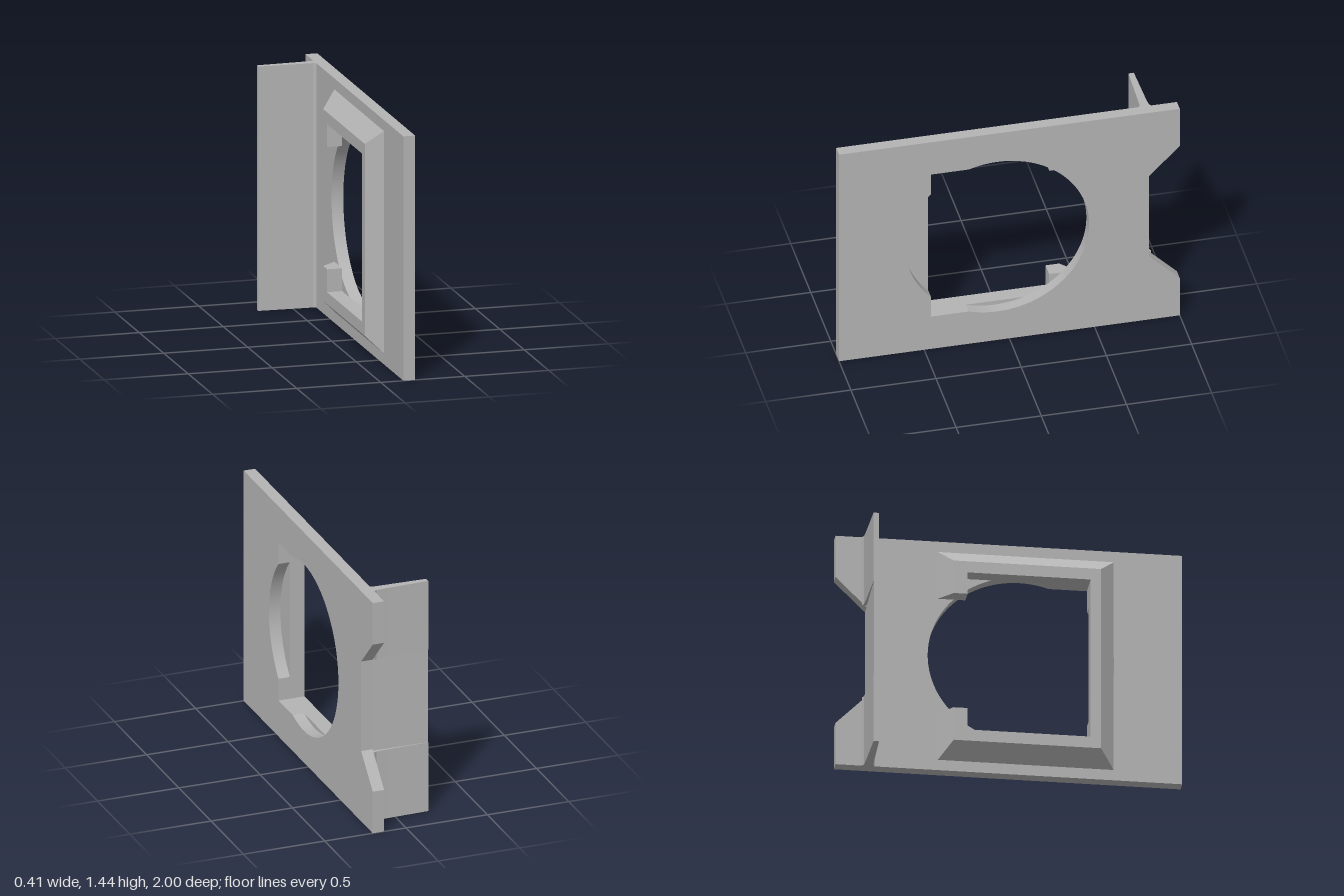
import * as THREE from 'three';

const H = 1.44, FRONT = 0.205, BACK = 0.135, TIP = 0.045, CY = H / 2;

// Flat plate with an edge notch and an opening that joins an ellipse with a square end
function plateGeometry() {
  const outline = [[1, 0], [1, H], [-1, H], [-1, 1.18], [-0.82, 1.0], [-0.82, 0.44], [-1, 0.26], [-1, 0]];
  const shape = new THREE.Shape(outline.map(p => new THREE.Vector2(...p)));
  const cz = 0.07, rz = 0.538, ry = 0.521, edge = 0.46, half = 0.495;
  const a = Math.acos((edge - cz) / rz);
  const b = Math.asin(half / ry);
  const hole = new THREE.Path();
  hole.absellipse(cz, CY, rz, ry, -a, a, false);
  hole.lineTo(edge, CY + half);
  hole.absellipse(cz, CY, rz, ry, b, 2 * Math.PI - b, false);
  hole.lineTo(edge, CY - half);
  hole.closePath();
  shape.holes.push(hole);
  const g = new THREE.ExtrudeGeometry(shape, { depth: FRONT - BACK, bevelEnabled: false, curveSegments: 64 });
  return g.rotateY(-Math.PI / 2).translate(FRONT, 0, 0);
}

// Chamfered frame swept round the opening, with a gap on the notched side
function frameGeometry() {
  // each ring of the section: x, near z, far z, half height
  const rings = [[BACK, -0.41, 0.605, 0.655], [TIP, -0.33, 0.52, 0.565],
    [TIP, -0.25, 0.46, 0.495], [BACK, -0.25, 0.46, 0.495]];
  const gap = 0.36;
  const stations = [
    r => [r[0], CY - gap, r[1]], r => [r[0], CY - r[3], r[1]], r => [r[0], CY - r[3], r[2]],
    r => [r[0], CY + r[3], r[2]], r => [r[0], CY + r[3], r[1]], r => [r[0], CY + gap, r[1]],
  ].map(f => rings.map(f));
  const pos = [];
  const quad = (p, q, r, s) => pos.push(...p, ...q, ...r, ...p, ...r, ...s);
  for (let i = 0; i < 5; i++) {
    const A = stations[i], B = stations[i + 1];
    for (let j = 0; j < 4; j++) {
      const k = (j + 1) % 4;
      quad(A[j], B[j], B[k], A[k]);
    }
  }
  quad(...stations[0]);
  quad(...[...stations[5]].reverse());
  const g = new THREE.BufferGeometry();
  g.setAttribute('position', new THREE.Float32BufferAttribute(pos, 3));
  g.computeVertexNormals();
  return g;
}

// Tapered flange section between two heights; points are x, z
function flangeGeometry(points, y0, y1) {
  const shape = new THREE.Shape(points.map(([x, z]) => new THREE.Vector2(x, -z)));
  const g = new THREE.ExtrudeGeometry(shape, { depth: y1 - y0, bevelEnabled: false });
  return g.rotateX(-Math.PI / 2).translate(0, y0, 0);
}

export function createModel() {
  const model = new THREE.Group();
  const grey = new THREE.MeshStandardMaterial({ color: 0xb4b4b4 });
  grey.name = 'grey';
  const add = (name, geometry, parent = model) => {
    const mesh = new THREE.Mesh(geometry, grey);
    mesh.name = name;
    parent.add(mesh);
  };

  add('plate', plateGeometry());
  add('openingFrame', frameGeometry());

  // Flange with small root flares; the notch trims its middle flat
  const flange = new THREE.Group();
  flange.name = 'flange';
  model.add(flange);
  const inner = [[BACK, -0.775], [0.118, -0.785], [-0.205, -0.795]];
  const full = [...inner, [-0.205, -0.827], [0.05, -0.834], [0.118, -0.838], [BACK, -0.848]];
  const trimmed = [...inner, [-0.205, -0.825], [BACK, -0.82]];
  add('flangeLower', flangeGeometry(full, 0, 0.43), flange);
  add('flangeMiddle', flangeGeometry(trimmed, 0.43, 1.01), flange);
  add('flangeUpper', flangeGeometry(full, 1.01, H), flange);
  return model;
}
